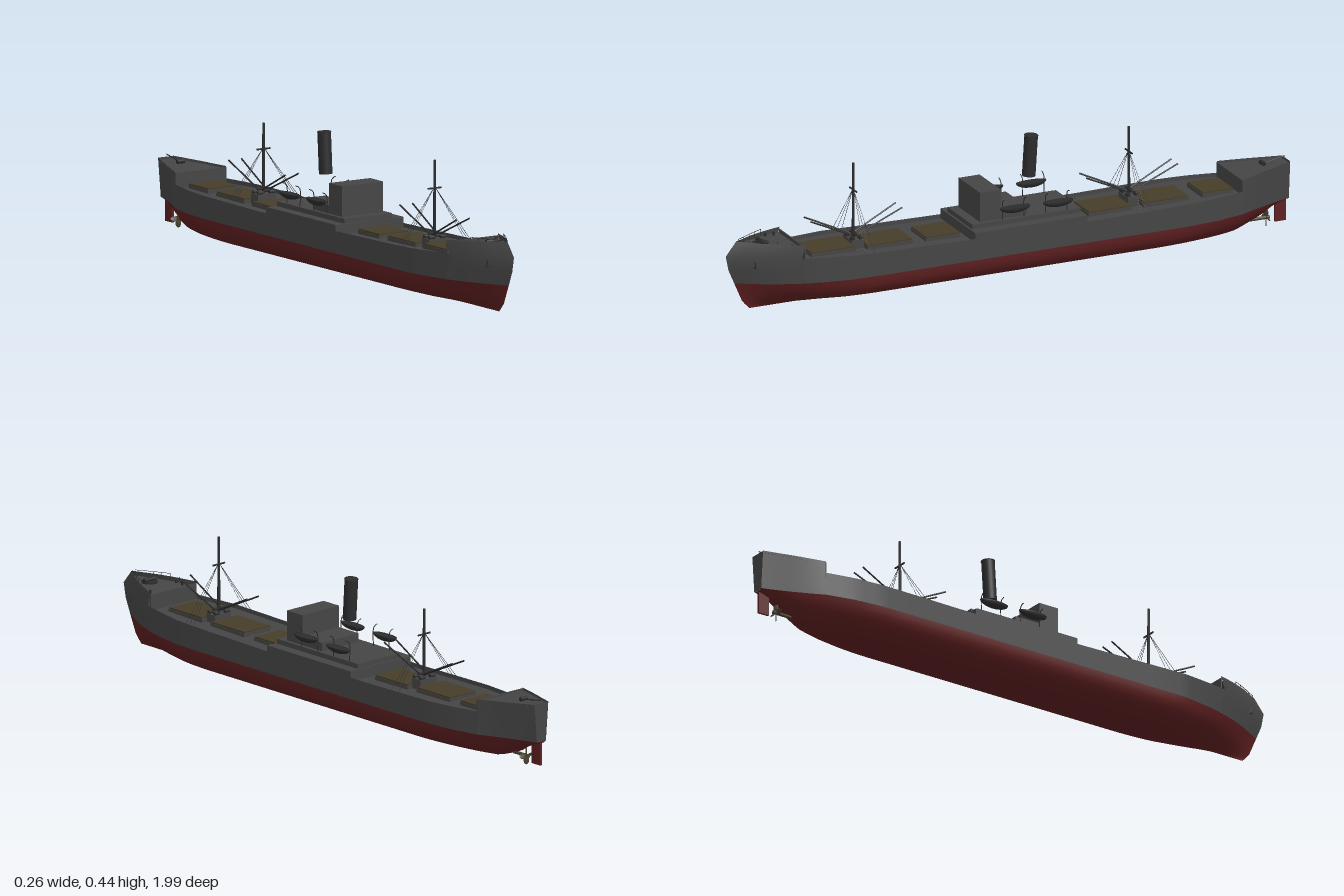
import * as THREE from 'three';
import { toCreasedNormals } from 'three/addons/utils/BufferGeometryUtils.js';

const mat = (name, color) => {
  const m = new THREE.MeshStandardMaterial({ color, side: THREE.DoubleSide });
  m.name = name;
  return m;
};

// Piecewise-linear and smooth lookups through [position, value] pairs
const lerpTable = (t) => (s) => {
  if (s <= t[0][0]) return t[0][1];
  for (let i = 1; i < t.length; i++) {
    const [a, va] = t[i - 1], [b, vb] = t[i];
    if (s <= b) return va + ((vb - va) * (s - a)) / (b - a);
  }
  return t[t.length - 1][1];
};
const halfWidth = lerpTable([[-1, 0.03], [-0.95, 0.048], [-0.9, 0.067], [-0.8, 0.099], [-0.7, 0.121], [-0.6, 0.131],
  [-0.5, 0.132], [0.5, 0.132], [0.6, 0.13], [0.7, 0.114], [0.77, 0.1], [0.85, 0.073], [0.92, 0.043], [0.97, 0.016], [1, 0.001]]);
const keelY = lerpTable([[-1, 0.085], [-0.95, 0.07], [-0.9, 0.038], [-0.8, 0.004], [-0.74, 0], [1, 0]]);
const stemZ = lerpTable([[0, 0.91], [0.027, 0.935], [0.178, 1], [0.235, 0.955]]);
const sheer = lerpTable([[-1, 0.178], [-0.8, 0.17], [-0.3, 0.164], [0.17, 0.165], [0.5, 0.171], [0.77, 0.178], [1, 0.178]]);
const WATER = 0.092;

// Rake the bow: stations ahead of 0.6 stretch to meet the stem at each height
const stationZ = (s, y) => (s <= 0.6 ? s : 0.6 + ((s - 0.6) / 0.4) * (stemZ(y) - 0.6));
const stations = (a, b) => {
  const n = Math.max(3, Math.ceil((b - a) / 0.03));
  return Array.from({ length: n + 1 }, (_, i) => a + ((b - a) * i) / n);
};

// Skin a grid of points: rows of equal length
function skin(rows) {
  const n = rows[0].length, index = [];
  for (let i = 0; i < rows.length - 1; i++)
    for (let j = 0; j < n - 1; j++) {
      const a = i * n + j, b = a + n;
      index.push(a, a + 1, b, b, a + 1, b + 1);
    }
  const g = new THREE.BufferGeometry();
  g.setAttribute('position', new THREE.Float32BufferAttribute(rows.flat(2), 3));
  g.setIndex(index);
  return toCreasedNormals(g, 0.6);
}

export function createModel() {
  const ship = new THREE.Group();
  ship.name = 'cargoShip';
  const grey = mat('hullGrey', 0x454545), red = mat('bottomRed', 0x5e1f20), tan = mat('hatchCover', 0x463d28);
  const dark = mat('darkFittings', 0x2c2c2c), bronze = mat('propellerBronze', 0x4a4230);

  const add = (name, geo, m, x = 0, y = 0, z = 0, parent = ship) => {
    const mesh = new THREE.Mesh(geo, m);
    mesh.name = name;
    mesh.position.set(x, y, z);
    parent.add(mesh);
    return mesh;
  };
  const box = (name, m, w, y0, y1, z0, z1, x = 0) =>
    add(name, new THREE.BoxGeometry(w, y1 - y0, z1 - z0), m, x, (y0 + y1) / 2, (z0 + z1) / 2);
  const rod = (name, a, b, r, m = dark, sides = 6, r2 = r) => {
    const p = new THREE.Vector3(...a), d = new THREE.Vector3(...b).sub(p);
    const mesh = add(name, new THREE.CylinderGeometry(r2, r, d.length(), sides), m);
    mesh.position.copy(p).addScaledVector(d, 0.5);
    mesh.quaternion.setFromUnitVectors(new THREE.Vector3(0, 1, 0), d.normalize());
    return mesh;
  };

  // Underwater hull: rounded bilges amidships fining to V sections at the ends
  const bilge = [[0, 0], [0.2, 0.05], [0.42, 0.11], [0.64, 0.2], [0.8, 0.32], [0.91, 0.48], [0.97, 0.66], [0.995, 0.84], [1, 1]];
  add('bottom', skin(stations(-1, 1).map((s) => {
    const end = Math.min(1, Math.max(0, (Math.abs(s) - 0.5) / 0.5)) ** 1.5, k = keelY(s);
    const half = bilge.map(([fx, fy]) => {
      const y = k + (WATER - k) * fy;
      const f = fx * (1 - end) + fx * Math.pow(fy, 0.6) * end;
      const counter = s < -0.8 ? 1 - 0.35 * ((-0.8 - s) / 0.2) : 1;
      return [halfWidth(s) * f * counter, y, stationZ(s, y)];
    });
    return [...half.slice(1).reverse().map(([x, y, z]) => [-x, y, z]), ...half];
  })), red);

  // Topsides, split where the forecastle, bridge deck and poop rise above the sheer
  const topside = (name, a, b, top) => {
    for (const side of [1, -1])
      add(name, skin(stations(a, b).map((s) => [0, 0.33, 0.67, 1].map((t) => {
        const y = WATER + (top(s) - WATER) * t;
        const tuck = s < -0.8 ? 1 - 0.35 * ((-0.8 - s) / 0.2) * (1 - t) : 1;
        return [side * halfWidth(s) * tuck, y, stationZ(s, y)];
      }))), grey);
  };
  const deck = (name, a, b, y) => add(name, skin(stations(a, b).map((s) =>
    [-1, 1].map((e) => [e * halfWidth(s) * 0.998, y(s), stationZ(s, y(s))]))), grey);
  const bulkhead = (name, s, y0, y1) => box(name, grey, halfWidth(s) * 1.99, y0, y1, stationZ(s, y1) - 0.002, stationZ(s, y1) + 0.002);

  const poopTop = lerpTable([[-1, 0.221], [-0.8, 0.21]]);
  const foreTop = lerpTable([[0.77, 0.222], [1, 0.234]]);
  topside('poopSide', -1, -0.8, poopTop);
  topside('aftSide', -0.8, -0.23, sheer);
  topside('midshipSide', -0.23, 0.165, () => 0.185);
  topside('foreSide', 0.165, 0.77, sheer);
  topside('bowSide', 0.77, 1, foreTop);
  const wellDeck = (s) => sheer(s) - 0.014;
  deck('aftDeck', -0.8, -0.23, wellDeck);
  deck('foreDeck', 0.165, 0.77, wellDeck);
  deck('bridgeDeck', -0.23, 0.165, () => 0.184);
  deck('poopDeck', -1, -0.8, (s) => poopTop(s) - 0.008);
  deck('forecastleDeck', 0.77, 1, (s) => foreTop(s) - 0.016);
  bulkhead('poopBulkhead', -0.8, 0.15, 0.207);
  bulkhead('bridgeAftBulkhead', -0.23, 0.145, 0.184);
  bulkhead('bridgeFrontBulkhead', 0.165, 0.145, 0.184);
  bulkhead('forecastleBulkhead', 0.77, 0.155, 0.216);
  const transom = new THREE.Shape([[-0.0195, WATER], [0.0195, WATER], [0.03, 0.221], [-0.03, 0.221]].map((p) => new THREE.Vector2(...p)));
  add('transom', new THREE.ShapeGeometry(transom), grey, 0, 0, -0.999);

  // Cargo hatches: coaming with a cover
  for (const [z0, z1] of [[-0.785, -0.674], [-0.626, -0.467], [-0.424, -0.27], [0.186, 0.308], [0.355, 0.515], [0.557, 0.716]]) {
    const y = sheer((z0 + z1) / 2);
    box('hatchCoaming', grey, 0.116, y - 0.02, y - 0.003, z0, z1);
    box('hatchCover', tan, 0.112, y - 0.003, y + 0.002, z0 + 0.002, z1 - 0.002);
  }

  // Midship houses, bridge and raked funnel
  box('lowerHouse', grey, 0.186, 0.184, 0.2, -0.225, 0.16);
  box('boatDeckHouse', grey, 0.16, 0.2, 0.228, -0.04, 0.127);
  box('bridge', grey, 0.16, 0.228, 0.3, 0.053, 0.127);
  rod('funnel', [0, 0.302, -0.084], [0, 0.44, -0.093], 0.022, dark, 24);
  add('funnelRim', new THREE.TorusGeometry(0.022, 0.0015, 6, 24).rotateX(Math.PI / 2 - 0.065), dark, 0, 0.438, -0.093);

  // Lifeboats on davits
  for (const side of [1, -1])
    for (const z of [0.012, -0.141]) {
      const x = side * 0.102, y = z > 0 ? 0.243 : 0.24;
      const hull = new THREE.SphereGeometry(1, 16, 6, 0, Math.PI * 2, Math.PI / 2, Math.PI / 2);
      add('lifeboat', hull, dark, x, y, z).scale.set(0.018, 0.02, 0.054);
      add('lifeboatCover', new THREE.CircleGeometry(1, 16).rotateX(-Math.PI / 2), dark, x, y - 0.001, z).scale.set(0.018, 1, 0.054);
      for (const dz of [-0.038, 0.038]) {
        const path = new THREE.CatmullRomCurve3([[0.087, 0.2], [0.085, 0.245], [0.09, 0.263], [0.103, 0.269]]
          .map(([px, py]) => new THREE.Vector3(side * px, py, z + dz)));
        add('davit', new THREE.TubeGeometry(path, 8, 0.0016, 5), dark);
      }
    }

  // Masts with crosstrees, cargo booms and shrouds
  for (const [z, top, cross] of [[0.54, 0.44, 0.348], [-0.44, 0.415, 0.33]]) {
    const base = sheer(z) - 0.015;
    box('mastHouse', grey, 0.07, base, 0.186, z - 0.02, z + 0.02);
    rod('mast', [0, base, z], [0, top, z], 0.0055, dark, 8, 0.004);
    rod('crosstree', [-0.026, cross, z], [0.026, cross, z], 0.003);
    rod('boomTable', [-0.024, 0.2, z], [0.024, 0.2, z], 0.004);
    for (const side of [1, -1]) {
      for (const dir of [1, -1]) {
        rod('boom', [side * 0.014, 0.2, z + dir * 0.012], [side * 0.025, 0.271, z + dir * 0.163], 0.0028);
        rod('winch', [side * 0.012, 0.19, z + dir * 0.014], [side * 0.032, 0.19, z + dir * 0.014], 0.006, dark, 8);
      }
      for (const dz of [-0.018, 0, 0.018])
        rod('shroud', [side * 0.004, cross, z], [side * 0.125, sheer(z), z + dz], 0.0007, dark, 4);
    }
  }

  // Forecastle fittings: windlass on a round base, bow rail, bollards and anchors
  add('windlassBase', new THREE.CylinderGeometry(0.026, 0.026, 0.006, 20), dark, 0, 0.217, 0.87);
  rod('windlass', [-0.024, 0.224, 0.87], [0.024, 0.224, 0.87], 0.007, dark, 10);
  for (const side of [1, -1]) {
    const rail = [0.87, 0.9, 0.93, 0.96, 0.99].map((s) => [side * halfWidth(s) * 0.97, 0.238, stationZ(s, 0.235)]);
    rail.forEach((p, i) => {
      rod('railPost', [p[0], 0.215, p[2]], p, 0.001, dark, 4);
      if (i) rod('bowRail', rail[i - 1], p, 0.001, dark, 4);
    });
    for (const z of [0.79, 0.82])
      add('bollard', new THREE.CylinderGeometry(0.004, 0.004, 0.014, 8), dark, side * 0.07, 0.213, z);
    const ax = side * 0.047, az = stationZ(0.918, 0.16);
    rod('anchorShank', [ax, 0.172, az], [ax, 0.15, az - 0.004], 0.002);
    rod('anchorFlukes', [ax - 0.006, 0.152, az], [ax + 0.006, 0.152, az], 0.0025);
  }

  // Stern: winch, staff, rudder and propeller
  rod('sternWinch', [-0.014, 0.218, -0.915], [0.014, 0.218, -0.915], 0.007, dark, 8);
  rod('sternStaff', [0, 0.215, -0.91], [0, 0.23, -0.995], 0.002);
  box('rudder', red, 0.008, 0.012, 0.1, -0.998, -0.958);
  rod('propellerShaft', [0, 0.03, -0.87], [0, 0.03, -0.94], 0.006, bronze, 8);
  const propeller = new THREE.Group();
  propeller.name = 'propeller';
  propeller.position.set(0, 0.03, -0.928);
  for (let i = 0; i < 4; i++) {
    const arm = new THREE.Group();
    arm.rotation.z = (i * Math.PI) / 2;
    const blade = add('propellerBlade', new THREE.SphereGeometry(1, 10, 8), bronze, 0, 0.016, 0, arm);
    blade.scale.set(0.009, 0.014, 0.002);
    blade.rotation.y = 0.6;
    propeller.add(arm);
  }
  ship.add(propeller);
  return ship;
}
